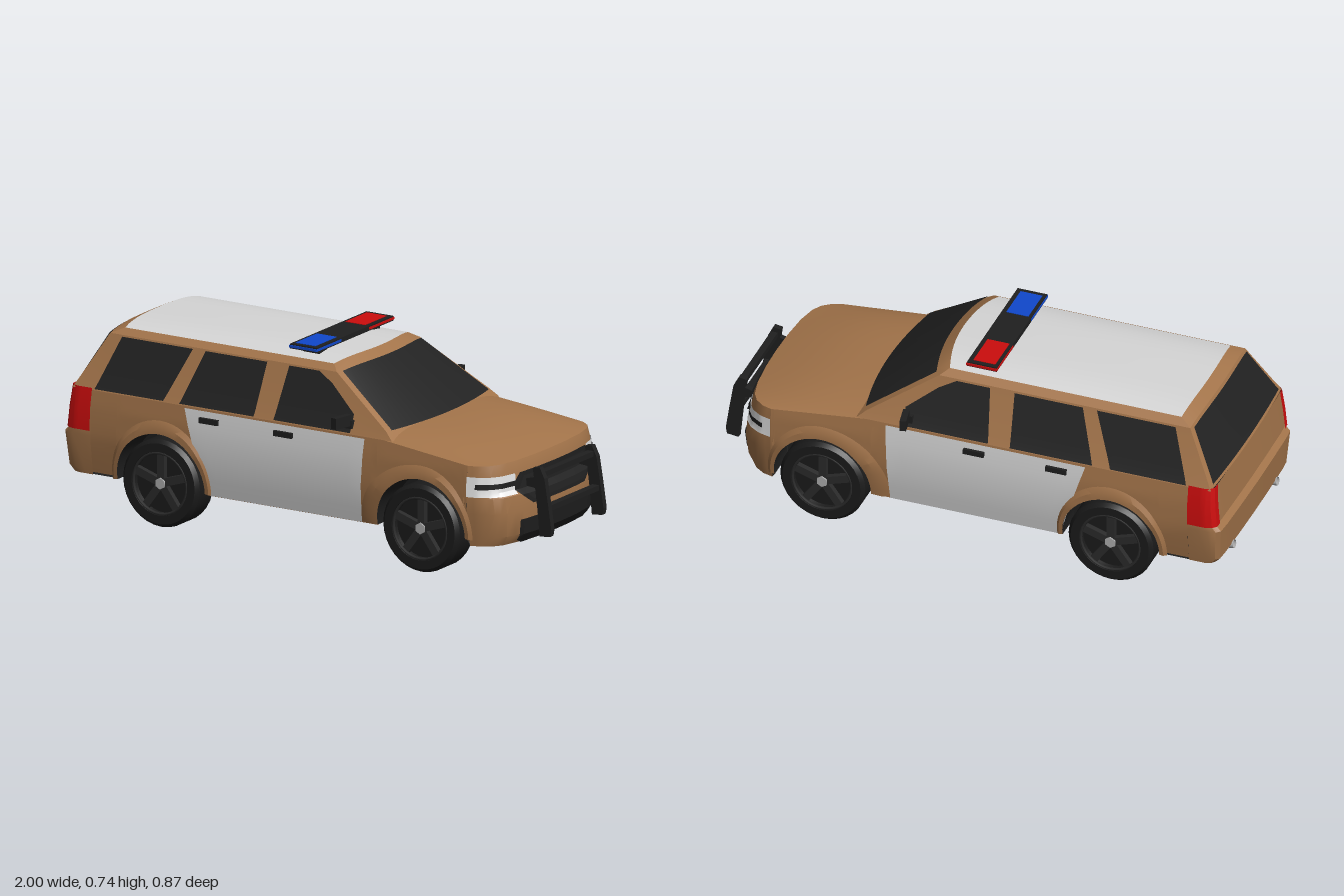
import * as THREE from 'three';
import { toCreasedNormals } from 'three/addons/utils/BufferGeometryUtils.js';

const paint = (name, color) => {
  const m = new THREE.MeshStandardMaterial({ color, side: THREE.DoubleSide });
  m.name = name;
  return m;
};
const tan = paint('tan paint', 0xa3744a), white = paint('white paint', 0xd6d6d6);
const glass = paint('dark glass', 0x222222), trim = paint('black trim', 0x1f1f1f);
const rubber = paint('tyre rubber', 0x1b1b1b), rimGrey = paint('rim grey', 0x2b2b2b);
const metal = paint('bare metal', 0xb0b0b0), lampWhite = paint('lamp white', 0xe8e8e8);
const red = paint('signal red', 0xcc0d0d), blue = paint('signal blue', 0x1048cc);

const lerp = THREE.MathUtils.lerp;
// Piecewise linear curve through [input, output] points
const curve = (...p) => (v) => {
  if (v <= p[0][0]) return p[0][1];
  for (let i = 1; i < p.length; i++)
    if (v <= p[i][0]) return lerp(p[i - 1][1], p[i][1], (v - p[i - 1][0]) / (p[i][0] - p[i - 1][0]));
  return p[p.length - 1][1];
};
const range = (a, b, n) => Array.from({ length: n + 1 }, (_, i) => lerp(a, b, i / n));

// Body proportions
const WHEELS = [-0.57, 0.55], AXLE = 0.165, ARCH = 0.19;
const halfWidth = curve([0.125, 0.352], [0.2, 0.364], [0.29, 0.376], [0.4, 0.372], [0.47, 0.362],
  [0.5, 0.347], [0.67, 0.28], [0.69, 0.25]);
const shoulder = curve([0.385, 0.47], [0.75, 0.43]);
const cabinRear = curve([0.47, -0.955], [0.67, -0.845], [0.69, -0.8]);
const cabinFront = curve([0.47, 0.42], [0.5, 0.385], [0.67, 0.13], [0.69, 0.1]);
const noseX = curve([0.125, 0.88], [0.16, 0.905], [0.25, 0.915], [0.31, 0.905], [0.33, 0.887],
  [0.39, 0.885], [0.43, 0.87]);
const tailX = curve([0.15, -0.97], [0.17, -0.99], [0.3, -1], [0.32, -0.98], [0.47, -0.965]);
const nosePlan = [[1, 0], [0.97, 0.3], [0.9, 0.58], [0.8, 0.76], [0.6, 0.9], [0.3, 0.98], [0, 1]];
const tailPlan = [[1, 0], [1, 0.6], [0.98, 0.82], [0.94, 0.94], [0.8, 0.97], [0.4, 0.99], [0, 1]];

// Position on a plan outline, s from -1 (right) to 1 (left)
function plan(list, s) {
  const f = (1 - Math.abs(s)) * (list.length - 1), i = Math.min(Math.floor(f), list.length - 2);
  const [p, q] = [list[i], list[i + 1]];
  return [Math.sign(s) * lerp(p[0], q[0], f - i), lerp(p[1], q[1], f - i)];
}

// Body surfaces, each with an outward offset
const side = (x, y, o = 0) => [x, y, halfWidth(y) + o];
const nose = (s, y, o = 0) => {
  const [a, b] = plan(nosePlan, s);
  return [lerp(0.75, noseX(y) + o, b), y, (halfWidth(y) + o) * a];
};
const tail = (s, y, o = 0) => {
  const [a, b] = plan(tailPlan, s);
  return [lerp(-0.87, tailX(y) - o, b), y, (halfWidth(y) + o) * a];
};
const crown = (y, t) => Math.max(0, (y - 0.5) / 0.19) * 0.018 * (1 - t ** 4);
const screen = (t, y, o = 0) =>
  [cabinFront(y) + 0.042 * (1 - t * t) + o, y + crown(y, t) + o, halfWidth(y) * t];
const hatch = (t, y, o = 0) =>
  [cabinRear(y) - 0.012 * (1 - t * t) - o, y + crown(y, t) + o * 0.5, halfWidth(y) * t];

export function createModel() {
  const model = new THREE.Group();
  model.name = 'patrolCar';
  const add = (name, geo, mat, x = 0, y = 0, z = 0, parent = model) => {
    const m = new THREE.Mesh(geo, mat);
    m.name = name;
    m.position.set(x, y, z);
    parent.add(m);
    return m;
  };
  const box = (name, mat, x, y, z, w, h, d, parent) =>
    add(name, new THREE.BoxGeometry(w, h, d), mat, x, y, z, parent);
  // Sheet over a grid of two parameters
  const sheet = (name, mat, us, vs, fn, parent = model) => {
    const pos = [], index = [], n = us.length;
    vs.forEach((v) => us.forEach((u) => pos.push(...fn(u, v))));
    for (let j = 0; j < vs.length - 1; j++)
      for (let i = 0; i < n - 1; i++) {
        const a = j * n + i;
        index.push(a, a + 1, a + n, a + 1, a + n + 1, a + n);
      }
    const g = new THREE.BufferGeometry();
    g.setAttribute('position', new THREE.Float32BufferAttribute(pos, 3));
    g.setIndex(index);
    return add(name, toCreasedNormals(g, 0.45), mat, 0, 0, 0, parent);
  };
  // Panel on a body surface, bounded per height by lo(y) and hi(y)
  const panel = (name, mat, surf, ys, lo, hi, off, parent, n = 12) =>
    sheet(name, mat, range(0, 1, n), ys, (u, y) => surf(lerp(lo(y), hi(y), u), y, off), parent);
  const k = (c) => () => c;

  // Left and right halves
  for (const sgn of [1, -1]) {
    const half = new THREE.Group();
    half.name = sgn > 0 ? 'leftSide' : 'rightSide';
    half.scale.z = sgn;
    model.add(half);

    // Lower side with wheel arch cut-outs
    const sill = (x) => {
      for (const c of WHEELS)
        if (Math.abs(x - c) <= ARCH + 1e-6) return AXLE + Math.sqrt(Math.max(0, ARCH ** 2 - (x - c) ** 2));
      return x < -0.7 ? 0.16 : 0.145;
    };
    const xs = [-0.87, 0.75, 0.385, ...range(-0.35, 0.33, 6)];
    for (const c of WHEELS) {
      xs.push(c - ARCH - 0.001, c + ARCH + 0.001);
      range(0, Math.PI, 20).forEach((a) => xs.push(c + ARCH * Math.cos(a)));
    }
    xs.sort((a, b) => a - b);
    sheet('lowerSide', tan, xs, range(0, 1, 8), (x, v) => side(x, lerp(sill(x), shoulder(x), v)), half);

    // Cabin side and windows
    panel('cabinSide', tan, side, [0.47, 0.5, 0.67, 0.69], cabinRear, cabinFront, 0, half);
    const wy = [0.475, 0.5, 0.54, 0.63, 0.665];
    panel('quarterWindow', glass, side, wy, curve([0.475, -0.86], [0.665, -0.79]),
      curve([0.475, -0.565], [0.665, -0.485]), 0.004, half);
    panel('rearDoorWindow', glass, side, wy, curve([0.475, -0.495], [0.665, -0.43]),
      curve([0.475, -0.175], [0.665, -0.165]), 0.004, half);
    panel('frontDoorWindow', glass, side, wy, curve([0.475, -0.09], [0.665, -0.07]),
      curve([0.54, 0.24], [0.63, 0.125], [0.665, 0.06]), 0.004, half);

    // Doors, handles and mirror
    panel('doors', white, side, [0.147, 0.2, 0.29, 0.4, 0.464], curve([0.147, -0.37], [0.464, -0.47]),
      curve([0.147, 0.29], [0.464, 0.305]), 0.004, half);
    for (const x of [-0.36, -0.04]) box('doorHandle', trim, x, 0.431, 0.375, 0.08, 0.02, 0.014, half);
    box('mirror', trim, 0.222, 0.522, 0.392, 0.024, 0.042, 0.082, half).rotation.y = -0.2;
    box('mirrorBase', trim, 0.225, 0.505, 0.348, 0.04, 0.03, 0.025, half);

    // Flares, arch linings and wheels
    WHEELS.forEach((c, i) => {
      const angles = range(-0.07, Math.PI + 0.07, 28);
      const ring = (a, v) => {
        const rx = i === 1 && Math.cos(a) < 0 ? 0.262 : 0.215;
        const y = AXLE + lerp(ARCH - 0.002, 0.237, v) * Math.sin(a);
        return [c + lerp(ARCH - 0.002, rx, v) * Math.cos(a), y, halfWidth(y) + (v === 1 ? 0.001 : 0.011)];
      };
      sheet('wheelFlare', tan, angles, [0, 0.55, 1], ring, half);
      sheet('archLining', trim, angles, [0, 1], (a, v) => {
        const p = ring(a, 0);
        return [p[0], p[1], lerp(0.24, p[2], v)];
      }, half);

      const wheel = new THREE.Group();
      wheel.name = i ? 'frontWheel' : 'rearWheel';
      wheel.position.set(c, AXLE, 0.32);
      half.add(wheel);
      const prof = [[0, -0.06], [0.15, -0.06], [0.165, -0.045], [0.165, 0.045], [0.152, 0.06],
        [0.12, 0.06], [0.114, 0.03], [0, 0.03]].map((p) => new THREE.Vector2(...p));
      add('tyre', toCreasedNormals(new THREE.LatheGeometry(prof, 32), 0.5), rubber, 0, 0, 0, wheel)
        .rotation.x = Math.PI / 2;
      for (let s = 0; s < 5; s++) {
        const a = Math.PI / 2 + s * Math.PI * 0.4;
        box('spoke', rimGrey, 0.066 * Math.cos(a), 0.066 * Math.sin(a), 0.04, 0.1, 0.03, 0.022, wheel)
          .rotation.z = a;
      }
      add('rimEdge', new THREE.TorusGeometry(0.115, 0.006, 6, 32), rimGrey, 0, 0, 0.054, wheel);
      add('hub', new THREE.CylinderGeometry(0.022, 0.022, 0.03, 6), metal, 0, 0, 0.042, wheel)
        .rotation.x = Math.PI / 2;
    });

    // Lamps
    panel('headlight', lampWhite, nose, [0.315, 0.33, 0.355, 0.39], k(0.36), k(1), 0.004, half, 18);
    panel('headlightStripe', trim, nose, [0.345, 0.364], k(0.35), k(0.87), 0.008, half, 18);
    panel('tailLight', red, tail, [0.32, 0.4, 0.478], k(0.42), k(1), 0.006, half, 14);

    // Exhaust tip
    add('exhaustTip', new THREE.CylinderGeometry(0.016, 0.016, 0.09, 14, 1, true), metal, -0.95, 0.158, 0.22, half)
      .rotation.z = Math.PI / 2 - 0.12;

    // Push bar upright and light bar parts
    const upright = new THREE.Shape([[0.915, 0.405], [0.945, 0.41], [0.965, 0.37], [0.98, 0.28], [0.995, 0.18],
      [0.99, 0.155], [0.945, 0.15], [0.935, 0.25], [0.925, 0.33], [0.87, 0.335], [0.865, 0.355],
      [0.92, 0.37]].map((p) => new THREE.Vector2(...p)));
    add('pushBarUpright', new THREE.ExtrudeGeometry(upright, { depth: 0.022, bevelEnabled: false }), trim,
      0, 0, 0.165, half);
    const lens = sgn > 0 ? blue : red;
    box('beaconTop', lens, -0.03, 0.734, 0.168, 0.085, 0.014, 0.145, half);
    box('beaconEdge', lens, -0.027, 0.73, 0.178, 0.119, 0.009, 0.168, half);
    box('lightBarFoot', trim, -0.027, 0.706, 0.18, 0.07, 0.034, 0.05, half);
    box('lightBarBracket', trim, -0.027, 0.719, 0.176, 0.09, 0.007, 0.125, half);
  }

  // Roof, screens and hood
  const ts = range(-1, 1, 16), full = [k(-1), k(1)];
  sheet('roof', white, ts, range(0, 1, 12), (t, u) => {
    const a = screen(t, 0.69), b = hatch(t, 0.69);
    return [lerp(a[0], b[0], u), a[1] + 0.006 * Math.sin(Math.PI * u) * (1 - t ** 4), a[2]];
  });
  panel('windshieldFrame', tan, screen, [0.47, 0.5, 0.67, 0.69], ...full, 0, model, 16);
  panel('windshield', glass, screen, [0.497, 0.5, 0.665], k(-0.94), k(0.94), 0.004, model, 16);
  panel('hatchFrame', tan, hatch, [0.47, 0.5, 0.67, 0.69], ...full, 0, model, 16);
  panel('rearWindow', glass, hatch, [0.482, 0.5, 0.662], k(-0.94), k(0.94), 0.005, model, 16);
  sheet('hood', tan, range(-1, 1, 24), range(0, 1, 10), (s, u) => {
    const p = nose(s, 0.43), t = plan(nosePlan, s)[0], round = 1 - t ** 4;
    return [lerp(0.385 + 0.045 * (1 - t * t), p[0], u),
      lerp(0.47 + 0.03 * round, 0.43, u) + 0.014 * Math.sin(Math.PI * u) * round,
      lerp(halfWidth(0.47) * t, p[2], u)];
  });

  // Nose with grille and lower intake
  panel('nose', tan, nose, [0.125, 0.16, 0.25, 0.31, 0.33, 0.39, 0.43], ...full, 0, model, 24);
  const mirrored = (name, mat, ys, w, off) =>
    panel(name, mat, nose, ys, (y) => -w(y), w, off, model, 18);
  mirrored('grilleFrame', trim, [0.27, 0.29, 0.31, 0.33, 0.36, 0.39],
    curve([0.27, 0.25], [0.33, 0.37], [0.36, 0.37], [0.39, 0.32]), 0.008);
  mirrored('grilleMesh', glass, [0.285, 0.31, 0.33, 0.375], curve([0.285, 0.24], [0.33, 0.33], [0.375, 0.29]), 0.011);
  mirrored('lowerIntake', trim, [0.125, 0.14, 0.16, 0.22], curve([0.125, 0.32], [0.14, 0.38], [0.22, 0.37]), 0.01);

  // Tail
  panel('tail', tan, tail, [0.15, 0.17, 0.3, 0.32, 0.47], ...full, 0, model, 24);

  // Underside
  const ss = range(-1, 1, 24);
  sheet('noseFloor', trim, ss, [0, 1], (s, u) => {
    const p = nose(s, 0.127);
    return [lerp(p[0], 0.74, u), lerp(0.127, 0.142, u), p[2]];
  });
  sheet('tailFloor', trim, ss, [0, 1], (s, u) => {
    const p = tail(s, 0.152);
    return [lerp(p[0], -0.76, u), 0.152, p[2]];
  });
  box('chassis', trim, -0.05, 0.25, 0, 1.56, 0.21, 0.5);
  box('floor', trim, -0.01, 0.152, 0, 0.73, 0.012, 0.705);

  // Push bar crossbars and light bar body
  box('pushBarMiddle', trim, 0.962, 0.255, 0, 0.028, 0.02, 0.36);
  box('pushBarTop', trim, 0.94, 0.38, 0, 0.026, 0.02, 0.36);
  box('lightBar', trim, -0.027, 0.73, 0, 0.115, 0.018, 0.516);
  return model;
}
